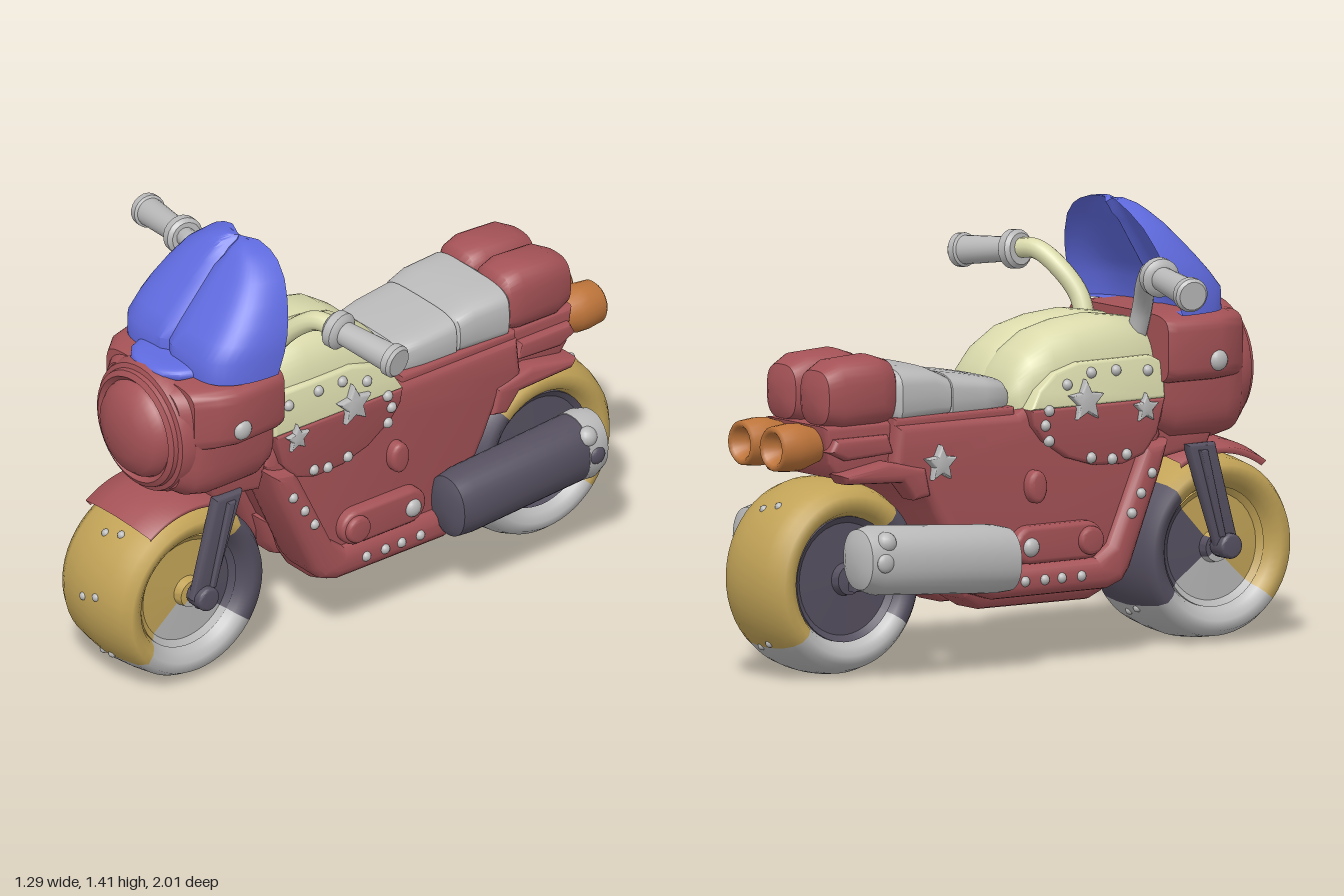
import * as THREE from 'three';
import { toCreasedNormals } from 'three/addons/utils/BufferGeometryUtils.js';

const paint = (name, color, side = THREE.DoubleSide) =>
  Object.assign(new THREE.MeshStandardMaterial({ color, side }), { name });
const red = paint('red', 0xa45256), blue = paint('blue', 0x5f6ade), cream = paint('cream', 0xdadaac);
const grey = paint('grey', 0xb9b9b9), yellow = paint('yellow', 0xc2a357), dark = paint('dark', 0x565060);
const orange = paint('orange', 0xbd743a);
const V = (x, y, z) => new THREE.Vector3(x, y, z);

// Skin through closed rings of points, capped at both ends
function skin(rings, crease = 0.7) {
  const n = rings[0].length, pos = [], idx = [];
  rings.forEach(r => r.forEach(p => pos.push(p.x, p.y, p.z)));
  const mids = [rings[0], rings[rings.length - 1]].map(r => {
    const c = r.reduce((a, p) => a.add(p), V(0, 0, 0)).divideScalar(n);
    pos.push(c.x, c.y, c.z);
    return pos.length / 3 - 1;
  });
  const last = (rings.length - 1) * n;
  for (let j = 0; j < n; j++) {
    const k = (j + 1) % n;
    for (let i = 0; i < rings.length - 1; i++) {
      const a = i * n + j, b = i * n + k;
      idx.push(a, b, b + n, a, b + n, a + n);
    }
    idx.push(mids[0], k, j, mids[1], last + j, last + k);
  }
  const g = new THREE.BufferGeometry();
  g.setAttribute('position', new THREE.Float32BufferAttribute(pos, 3));
  g.setIndex(idx);
  return toCreasedNormals(g, crease);
}

// Rounded-box sections [z, y, halfWidth, halfHeight] in order of rising z
function loft(secs, x = 0, e = 3, n = 32) {
  const f = t => Math.sign(t) * Math.pow(Math.abs(t), 2 / e);
  return skin(secs.map(([z, y, w, h]) => Array.from({ length: n }, (_, j) => {
    const a = j / n * Math.PI * 2;
    return V(x + w * f(Math.cos(a)), y + h * f(Math.sin(a)), z);
  })));
}

// Side outline of [z, y] points given thickness from x0 to x1, narrowing upward by the given lean
const narrow = (y, lean) => 1 + lean * (0.8 - y);
function slab(pts, x0, x1, b = 0.015, lean = 0) {
  const shape = new THREE.Shape(pts.map(p => new THREE.Vector2(...p)));
  const g = new THREE.ExtrudeGeometry(shape, {
    depth: x1 - x0 - 2 * b, bevelThickness: b, bevelSize: b, bevelOffset: -b, bevelSegments: 3 });
  g.rotateY(-Math.PI / 2).translate(x1 - b, 0, 0);
  const p = g.attributes.position;
  for (let i = 0; i < p.count; i++) p.setX(i, p.getX(i) * narrow(p.getY(i), lean));
  return toCreasedNormals(g, 0.6);
}
const oval = (z, y, rz, ry, n = 24) => Array.from({ length: n }, (_, i) => {
  const a = i / n * Math.PI * 2;
  return [z + rz * Math.cos(a), y + ry * Math.sin(a)];
});
const starPts = (z, y, r) => Array.from({ length: 10 }, (_, i) => {
  const a = i * Math.PI / 5 + Math.PI / 2, q = i % 2 ? r * 0.5 : r;
  return [z + q * Math.cos(a), y + q * Math.sin(a)];
});
// Turned profile [radius, height]
const turned = (pts, start = 0, len = Math.PI * 2, n = 40) =>
  new THREE.LatheGeometry(pts.map(p => new THREE.Vector2(...p)), n, start, len);

export function createModel() {
  const root = new THREE.Group();
  const add = (name, geo, mat, parent = root) => {
    const m = new THREE.Mesh(geo, mat);
    m.name = name;
    parent.add(m);
    return m;
  };
  const ball = (name, r, x, y, z, mat, sx = 1) =>
    add(name, new THREE.SphereGeometry(r, 16, 12).scale(sx, 1, 1).translate(x, y, z), mat);
  // The same side part on both sides
  const both = (name, pts, x0, x1, mat, b, lean) => {
    add(name, slab(pts, x0, x1, b, lean), mat);
    add(name, slab(pts, -x1, -x0, b, lean), mat);
  };

  // Wheels in three colour sectors [material, from, to] in degrees, 0 = forward, 90 = up
  const mirrored = half => [...half, ...half.slice(0, -1).reverse().map(([r, y]) => [r, -y])];
  const flatTyre = mirrored([[0.19, -0.12], [0.205, -0.15], [0.23, -0.168], [0.26, -0.174], [0.28, -0.14],
    [0.291, -0.07], [0.297, 0]]);
  const roundTyre = mirrored([[0.19, -0.12], [0.205, -0.148], [0.23, -0.163], [0.255, -0.158], [0.275, -0.132],
    [0.289, -0.09], [0.295, -0.045], [0.297, 0]]);
  const rim = mirrored([[0, -0.155], [0.045, -0.15], [0.05, -0.12], [0.17, -0.115], [0.19, -0.13], [0.19, 0]]);
  const wheel = (name, z, height, tyre, sectors, rimMat) => {
    const g = new THREE.Group();
    g.name = name;
    g.position.set(0, 0.298 * height, z);
    g.scale.y = height;
    for (const [mat, a, b] of sectors) {
      const s = a * Math.PI / 180, l = (b - a) * Math.PI / 180;
      add('tyreSector', turned(tyre, s, l, 24).rotateZ(Math.PI / 2), mat, g);
      add('rimSector', toCreasedNormals(turned(rim, s, l, 16).rotateZ(Math.PI / 2), 0.6), rimMat || mat, g);
    }
    for (const deg of [5, 48, -42, 132, 222]) for (const s of [-1, 1]) {
      const a = (deg + s * 2) * Math.PI / 180;
      add('tyreStud', new THREE.SphereGeometry(0.014, 10, 8)
        .translate(s * 0.03, 0.29 * Math.sin(a), 0.29 * Math.cos(a)), grey, g);
    }
    root.add(g);
  };
  wheel('frontWheel', 0.703, 1, flatTyre, [[yellow, -42, 132], [dark, 132, 217], [grey, 217, 318]]);
  wheel('rearWheel', -0.703, 1.04, roundTyre, [[dark, -35, 48], [yellow, 48, 223], [grey, 223, 325]], dark);

  // Front fender and forks
  const fender = [[0.295, -0.15], [0.315, -0.16], [0.335, -0.08], [0.342, 0], [0.335, 0.08], [0.315, 0.16], [0.295, 0.15]];
  add('frontFender', turned(fender, 0.97, 1.1, 20).rotateZ(Math.PI / 2).translate(0, 0.298, 0.703), red);
  add('forkCrown', slab([[0.46, 0.6], [0.64, 0.63], [0.68, 0.72], [0.42, 0.74]], -0.19, 0.19, 0.02), red);
  both('forkLeg', [[0.67, 0.28], [0.72, 0.27], [0.745, 0.31], [0.655, 0.64], [0.545, 0.64]], 0.172, 0.212, dark, 0.015);
  both('forkRib', [[0.665, 0.34], [0.685, 0.34], [0.615, 0.62], [0.585, 0.62]], 0.2, 0.225, dark, 0.006);
  both('frontAxle', oval(0.7, 0.31, 0.04, 0.04), 0.16, 0.235, dark, 0.01);

  // Main body, rounded keel, raised lower band and engine covers
  add('body', slab([[0.45, 0.68], [0.42, 0.8], [0.3, 0.84], [0, 0.84], [-0.1, 0.79], [-0.56, 0.79], [-0.57, 0.66],
    [-0.47, 0.6], [-0.42, 0.5], [-0.36, 0.4], [-0.29, 0.26], [-0.2, 0.23], [0.2, 0.23], [0.25, 0.28], [0.41, 0.61]],
  -0.208, 0.208, 0.03, 0.2), red);
  both('keel', [[0.3, 0.35], [0.27, 0.25], [0.24, 0.2], [0.19, 0.178], [-0.22, 0.18], [-0.29, 0.22], [-0.33, 0.3],
    [-0.3, 0.35]], 0, 0.2, red, 0.045);
  both('lowerBand', [[0.46, 0.67], [0.43, 0.58], [0.3, 0.28], [0.27, 0.24], [0.21, 0.218], [-0.22, 0.218],
    [-0.29, 0.24], [-0.32, 0.29], [-0.27, 0.32], [0.17, 0.32], [0.22, 0.36], [0.36, 0.66]], 0.05, 0.24, red, 0.035, 0.2);
  both('engineCover', [...oval(0.13, 0.38, 0.06, 0.06).filter(p => p[0] >= 0.13).sort((a, b) => a[1] - b[1]),
    ...oval(-0.085, 0.38, 0.06, 0.06).filter(p => p[0] <= -0.085).sort((a, b) => b[1] - a[1])], 0.18, 0.262, red);
  both('engineRing', oval(0.135, 0.38, 0.045, 0.045), 0.2, 0.282, red, 0.012);
  both('sideKnob', oval(-0.052, 0.56, 0.035, 0.052), 0.18, 0.255, red, 0.015);

  // Tank: two merging lobes and two-tone side panels
  for (const s of [-1, 1]) {
    add('tankLobe', loft([[-0.1, 0.82, 0.08, 0.03], [-0.075, 0.82, 0.115, 0.1], [-0.03, 0.82, 0.13, 0.155],
      [0.05, 0.82, 0.138, 0.208], [0.15, 0.82, 0.14, 0.233], [0.27, 0.82, 0.14, 0.243], [0.4, 0.82, 0.135, 0.225],
      [0.45, 0.82, 0.12, 0.18]], s * 0.068, 2.7, 48), cream);
  }
  const tilt = 0.6;
  both('tankPanelTop', [[0.44, 0.8], [0.445, 0.91], [0.4, 0.935], [0.12, 0.935], [0.03, 0.91], [-0.035, 0.86],
    [-0.07, 0.8]], 0.15, 0.24, cream, 0.01, tilt);
  both('tankPanelBottom', [[0.44, 0.8], [-0.07, 0.8], [-0.06, 0.75], [-0.02, 0.7], [0.07, 0.64], [0.17, 0.61],
    [0.28, 0.605], [0.36, 0.63], [0.41, 0.69]], 0.15, 0.24, red, 0.01);
  const studs = [[0.38, 0.89], [0.26, 0.9], [0.165, 0.9], [0.07, 0.87], [-0.005, 0.795], [-0.02, 0.75], [-0.005, 0.7],
    [0.155, 0.635], [0.235, 0.625], [0.29, 0.635]];
  const lowStuds = [[0.38, 0.57], [0.337, 0.51], [0.3, 0.45], [0.1, 0.27], [0.025, 0.27], [-0.04, 0.27], [-0.115, 0.27]];
  for (const s of [-1, 1]) {
    for (const [z, y] of studs) ball('panelStud', 0.018, s * 0.238 * narrow(Math.max(y, 0.8), tilt), y, z, grey);
    for (const [z, y] of lowStuds) ball('bandStud', 0.017, s * 0.237 * narrow(y, 0.2), y, z, grey);
    ball('engineBolt', 0.03, s * 0.26, 0.375, -0.09, grey, 0.7);
    ball('fairingBolt', 0.033, s * 0.285, 0.91, 0.61, grey, 0.6);
  }
  both('largeStar', starPts(0.133, 0.815, 0.068), 0.22, 0.258, grey, 0.008, 0.3);
  both('smallStar', starPts(0.36, 0.775, 0.048), 0.22, 0.255, grey, 0.007);
  add('rearStar', slab(starPts(-0.41, 0.66, 0.06), -0.24, -0.2, 0.008), grey);

  // Seat and tail
  add('frontSeat', loft([[-0.345, 0.85, 0.16, 0.06], [-0.33, 0.85, 0.18, 0.08], [-0.2, 0.845, 0.178, 0.065],
    [-0.12, 0.84, 0.165, 0.055], [-0.1, 0.835, 0.15, 0.035]], 0, 4), grey);
  add('rearSeat', loft([[-0.55, 0.87, 0.17, 0.08], [-0.53, 0.87, 0.192, 0.095], [-0.4, 0.87, 0.19, 0.085],
    [-0.34, 0.86, 0.185, 0.07], [-0.32, 0.85, 0.16, 0.05]], 0, 4), grey);
  add('seatBase', slab([[-0.1, 0.77], [-0.1, 0.81], [-0.56, 0.81], [-0.56, 0.77]], -0.19, 0.19, 0.01), red);
  for (const s of [-1, 1]) {
    add('tailCushion', loft([[-0.81, 0.88, 0.05, 0.05], [-0.795, 0.885, 0.078, 0.085], [-0.74, 0.89, 0.095, 0.11],
      [-0.6, 0.895, 0.098, 0.112], [-0.55, 0.89, 0.09, 0.1], [-0.53, 0.89, 0.07, 0.07]], s * 0.09, 2.9), red);
    add('tailLamp', turned([[0, -0.13], [0.045, -0.13], [0.058, -0.09], [0.074, -0.04], [0.076, 0], [0.07, 0.055],
      [0.06, 0.065], [0.05, 0.055], [0.03, 0.02], [0, 0.015]], 0, Math.PI * 2, 24)
      .rotateX(-Math.PI / 2).translate(s * 0.085, 0.735, -0.895), orange);
  }
  add('tailBase', slab([[-0.45, 0.6], [-0.62, 0.63], [-0.75, 0.63], [-0.79, 0.68], [-0.81, 0.8], [-0.45, 0.8]],
    -0.165, 0.165, 0.02), red);
  both('tailBracket', [[-0.44, 0.56], [-0.5, 0.55], [-0.55, 0.61], [-0.76, 0.62], [-0.78, 0.65], [-0.6, 0.68],
    [-0.46, 0.65]], 0.13, 0.225, red, 0.02);
  both('tailRail', [[-0.56, 0.7], [-0.74, 0.69], [-0.8, 0.72], [-0.78, 0.76], [-0.58, 0.76]], 0.12, 0.19, red, 0.015);

  // Mufflers: dark on the left, grey on the right
  const pipe = [[-0.785, 0.395, 0.05, 0.06], [-0.77, 0.395, 0.08, 0.095], [-0.72, 0.39, 0.095, 0.11],
    [-0.26, 0.357, 0.094, 0.108], [-0.205, 0.352, 0.087, 0.1], [-0.19, 0.35, 0.06, 0.075]];
  add('leftMuffler', loft(pipe, 0.288, 2.2), dark);
  add('rightMuffler', loft(pipe, -0.288, 2.2), grey);
  add('leftMufflerCap', loft([[-0.795, 0.395, 0.055, 0.06], [-0.78, 0.395, 0.085, 0.1], [-0.74, 0.39, 0.099, 0.114],
    [-0.7, 0.39, 0.096, 0.111]], 0.288, 2.2), grey);
  for (const [s, mat] of [[1, dark], [-1, grey]]) {
    ball('mufflerLug', 0.035, s * 0.35, 0.45, -0.71, grey);
    ball('mufflerBolt', 0.03, s * 0.38, 0.39, -0.73, mat, 0.5);
  }
  both('rearArm', [[-0.3, 0.3], [-0.73, 0.28], [-0.73, 0.36], [-0.3, 0.4]], 0.172, 0.22, dark, 0.01);

  // Fairing: wide upper wings over a narrower core, with the round lamp in front
  add('fairingWings', loft([[0.43, 0.95, 0.27, 0.11], [0.46, 0.95, 0.282, 0.112], [0.62, 0.95, 0.29, 0.112],
    [0.69, 0.95, 0.27, 0.11], [0.75, 0.94, 0.22, 0.11]], 0, 6, 48), red);
  add('fairingCore', loft([[0.44, 0.86, 0.225, 0.19], [0.49, 0.85, 0.238, 0.205], [0.68, 0.85, 0.238, 0.207],
    [0.74, 0.855, 0.225, 0.2], [0.78, 0.86, 0.19, 0.18]], 0, 4, 48), red);
  add('headlamp', toCreasedNormals(turned([[0.2, 0], [0.22, 0.02], [0.222, 0.06], [0.21, 0.09], [0.195, 0.095],
    [0.192, 0.11], [0.175, 0.12], [0.16, 0.105], [0.155, 0.12], [0.135, 0.145], [0.08, 0.168], [0, 0.176]])
    .rotateX(Math.PI / 2).translate(0, 0.86, 0.7), 0.7), red);
  add('screenFoot', loft([[0.66, 1.065, 0.15, 0.03], [0.73, 1.066, 0.12, 0.026], [0.765, 1.066, 0.08, 0.018],
    [0.78, 1.062, 0.04, 0.008]], 0, 3), blue);

  // Windscreen, sections [y, halfWidth, rear z, front z] with a groove down the middle
  const N = 32;
  add('windscreen', skin([[1.06, 0.288, 0.47, 0.69], [1.13, 0.288, 0.445, 0.69], [1.18, 0.28, 0.428, 0.65],
    [1.225, 0.266, 0.413, 0.61], [1.28, 0.24, 0.395, 0.56], [1.335, 0.204, 0.378, 0.51], [1.375, 0.155, 0.366, 0.47],
    [1.395, 0.115, 0.364, 0.45], [1.41, 0.065, 0.37, 0.42],
  ].map(([y, w, zb, zf]) => {
    const ring = [], dent = u => Math.exp(-((u * w / 0.015) ** 2)), d = zf - zb;
    const bow = u => Math.pow(Math.max(0, 1 - u ** 6), 0.5), drop = u => y - (y > 1.35 ? 0.015 * dent(u) : 0);
    const arc = (k, depth) => {
      const u = Math.sin((k / N - 0.5) * Math.PI);
      ring.push(V(u * w, drop(u), zb + d * depth * bow(u) - 0.015 * dent(u)));
    };
    for (let k = 0; k <= N; k++) arc(k, 1);
    for (let k = N - 1; k > 0; k--) arc(k, 0.5);
    return ring;
  })), blue);

  // Handlebars and grips
  for (const s of [-1, 1]) {
    const path = new THREE.CatmullRomCurve3([V(s * 0.13, 0.97, 0.4), V(s * 0.17, 1.08, 0.4), V(s * 0.24, 1.17, 0.365),
      V(s * 0.31, 1.215, 0.335), V(s * 0.39, 1.21, 0.31)]);
    add('handlebar', new THREE.TubeGeometry(path, 24, 0.032, 12), s > 0 ? cream : grey);
    const grip = add('grip', toCreasedNormals(turned([[0, 0], [0.05, 0], [0.062, 0.012], [0.062, 0.04], [0.05, 0.052],
      [0.039, 0.055], [0.046, 0.24], [0.054, 0.245], [0.054, 0.268], [0.045, 0.278], [0, 0.278]], 0, Math.PI * 2, 20), 0.6), grey);
    grip.position.set(s * 0.362, 1.21, 0.315);
    grip.quaternion.setFromUnitVectors(V(0, 1, 0), V(s * 0.27, -0.03, -0.05).normalize());
  }
  return root;
}
